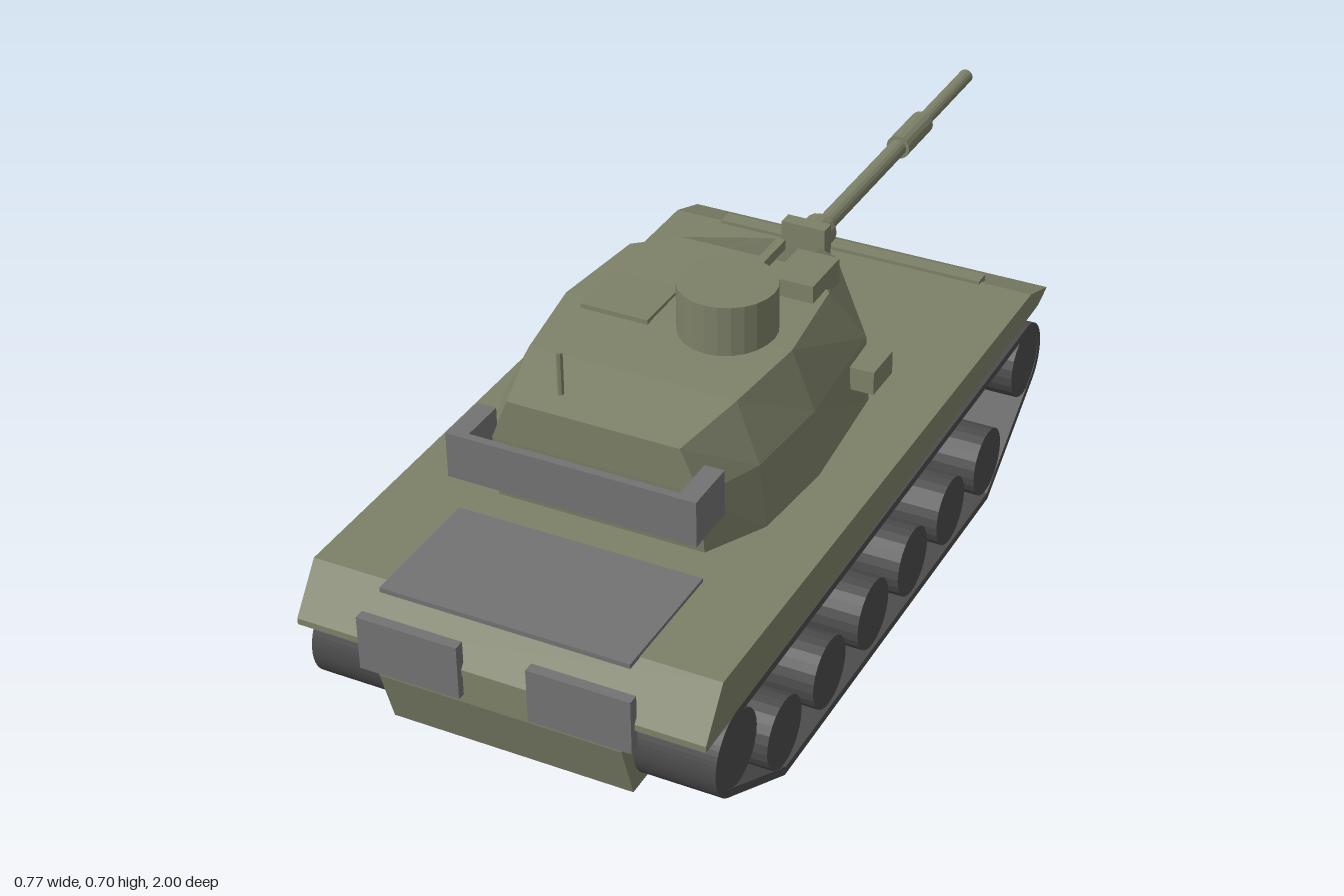
import * as THREE from 'three';

const mat = (color, side = THREE.FrontSide) =>
  new THREE.MeshStandardMaterial({ color, flatShading: true, side });
const olive = mat(0x7d8168);
const steel = mat(0x737373);
const dark = mat(0x4c4c4c);

export function createModel() {
  const root = new THREE.Group();

  const add = (name, geometry, material, x = 0, y = 0, z = 0, parent = root) => {
    const mesh = new THREE.Mesh(geometry, material);
    mesh.name = name;
    mesh.position.set(x, y, z);
    parent.add(mesh);
    return mesh;
  };

  // Box given by its extents along each axis
  const box = (name, material, [x0, x1], [y0, y1], [z0, z1], parent = root) =>
    add(name, new THREE.BoxGeometry(x1 - x0, y1 - y0, z1 - z0), material,
      (x0 + x1) / 2, (y0 + y1) / 2, (z0 + z1) / 2, parent);

  // Side profile in (z, y), extruded across x about the centre line
  const acrossX = (shape, width) =>
    new THREE.ExtrudeGeometry(shape, { depth: width, bevelEnabled: false, curveSegments: 12 })
      .translate(0, 0, -width / 2).rotateY(-Math.PI / 2);
  const outline = (pts) => new THREE.Shape(pts.map(([z, y]) => new THREE.Vector2(z, y)));

  const rollerGeo = (r, width, sides) =>
    new THREE.CylinderGeometry(r, r, width, sides).rotateZ(Math.PI / 2);

  // Hull
  add('lowerHull', acrossX(outline([
    [0.985, 0.28], [0.985, 0.21], [0.95, 0.1], [-0.36, 0.1],
    [-0.485, 0.25], [-0.42, 0.325], [0.9, 0.325]]), 0.46), olive);
  add('upperHull', acrossX(outline([
    [0.988, 0.268], [0.988, 0.28], [0.925, 0.365], [-0.41, 0.365],
    [-0.498, 0.335], [-0.455, 0.318]]), 0.77), olive);
  box('frontDeckStrip', olive, [-0.28, 0.28], [0.355, 0.372], [-0.432, -0.4]);
  box('engineDeck', steel, [-0.235, 0.235], [0.363, 0.372], [0.7, 0.957]);
  for (const s of [-1, 1]) {
    add('rearPanel', new THREE.BoxGeometry(0.192, 0.105, 0.02), steel, s * 0.161, 0.28, 0.99);
  }

  // Track loop, inset by t from its outer face
  const trackPath = (path, t) => {
    const k = t * 0.28;
    path.moveTo(-0.225 + k, t);
    path.lineTo(0.695 - k, t);
    path.absarc(0.873, 0.19, 0.083 - t, -1.06, Math.PI / 2, false);
    path.absarc(-0.398, 0.217, 0.08 - t, Math.PI / 2, 4.1, false);
    path.closePath();
    return path;
  };
  const trackShape = trackPath(new THREE.Shape(), 0);
  trackShape.holes.push(trackPath(new THREE.Path(), 0.015));
  const trackGeo = acrossX(trackShape, 0.15);

  // Running gear on both sides
  for (const s of [-1, 1]) {
    const gear = new THREE.Group();
    gear.name = s > 0 ? 'leftRunningGear' : 'rightRunningGear';
    gear.position.x = s * 0.31;
    root.add(gear);
    add('track', trackGeo, dark, 0, 0, 0, gear);
    add('rearSprocket', rollerGeo(0.071, 0.148, 24), dark, 0, 0.19, 0.873, gear);
    add('frontIdler', rollerGeo(0.071, 0.148, 24), dark, 0, 0.217, -0.398, gear);
    for (const z of [0.695, 0.513, 0.326, 0.148, -0.032, -0.215]) {
      add('roadWheel', rollerGeo(0.068, 0.148, 24), dark, 0, 0.093, z, gear);
    }
    for (const z of [0.535, 0.21, -0.172]) {
      add('returnRoller', rollerGeo(0.025, 0.09, 12), dark, -s * 0.015, 0.26, z, gear);
    }
  }

  // Turret shell: half columns from front to rear, each [x, y, z] at base, shoulder and roof
  const turret = new THREE.Group();
  turret.name = 'turret';
  root.add(turret);
  const columns = [
    [[0.04, 0.36, -0.19], [0.04, 0.505, -0.175], [0.04, 0.612, 0.07]],
    [[0.09, 0.36, -0.17], [0.085, 0.505, -0.155], [0.125, 0.612, 0.07]],
    [[0.255, 0.36, 0.07], [0.25, 0.5, 0.075], [0.2, 0.61, 0.13]],
    [[0.277, 0.36, 0.33], [0.266, 0.495, 0.33], [0.222, 0.608, 0.33]],
    [[0.262, 0.36, 0.51], [0.25, 0.49, 0.515], [0.2, 0.597, 0.5]],
    [[0.2, 0.36, 0.625], [0.2, 0.49, 0.638], [0.165, 0.575, 0.642]],
  ];
  const flip = ([x, y, z]) => [-x, y, z];
  const ring = [...columns, ...columns.slice().reverse().map((c) => c.map(flip))];
  const verts = [];
  const quad = (a, b, c, d) => verts.push(...a, ...b, ...c, ...a, ...c, ...d);
  ring.forEach((c, i) => {
    const n = ring[(i + 1) % ring.length];
    for (let k = 0; k < 2; k++) quad(c[k], c[k + 1], n[k + 1], n[k]);
  });
  for (let i = 0; i < columns.length - 1; i++) {
    const a = columns[i][2], b = columns[i + 1][2];
    quad(a, flip(a), flip(b), b);
  }
  const shell = new THREE.BufferGeometry();
  shell.setAttribute('position', new THREE.Float32BufferAttribute(verts, 3));
  shell.computeVertexNormals();
  add('turretShell', shell, olive, 0, 0, 0, turret);

  // Roof fittings
  add('cupola', new THREE.CylinderGeometry(0.09, 0.09, 0.1, 24), olive, 0.089, 0.65, 0.31, turret);
  box('hatch', olive, [-0.175, -0.042], [0.59, 0.615], [0.235, 0.362], turret);
  box('sight', olive, [0.108, 0.19], [0.595, 0.644], [0.065, 0.177], turret);
  box('roofGun', olive, [0.08, 0.097], [0.655, 0.674], [0.095, 0.24], turret);
  add('antenna', new THREE.CylinderGeometry(0.006, 0.006, 0.1, 8), olive, -0.088, 0.615, 0.59, turret);

  // Side boxes, rear stowage rack
  for (const s of [-1, 1]) {
    add('sideBox', new THREE.BoxGeometry(0.065, 0.046, 0.083), olive, s * 0.27, 0.463, 0.118, turret);
    add('rackArm', new THREE.BoxGeometry(0.037, 0.088, 0.1), steel, s * 0.218, 0.496, 0.67, turret);
  }
  box('rackPanel', steel, [-0.237, 0.237], [0.452, 0.54], [0.71, 0.725], turret);

  // Main gun, pointing along -z
  const gun = new THREE.Group();
  gun.name = 'mainGun';
  gun.position.y = 0.488;
  turret.add(gun);
  box('mantlet', olive, [-0.045, 0.045], [-0.047, 0.047], [-0.217, -0.188], gun);
  for (const [name, r, z0, z1] of [
    ['gunCollar', 0.034, -0.21, -0.268],
    ['barrel', 0.018, -0.26, -0.65],
    ['boreEvacuator', 0.025, -0.64, -0.762],
    ['muzzle', 0.015, -0.75, -1]]) {
    add(name, new THREE.CylinderGeometry(r, r, z0 - z1, 16).rotateX(Math.PI / 2), olive,
      0, 0, (z0 + z1) / 2, gun);
  }

  return root;
}
